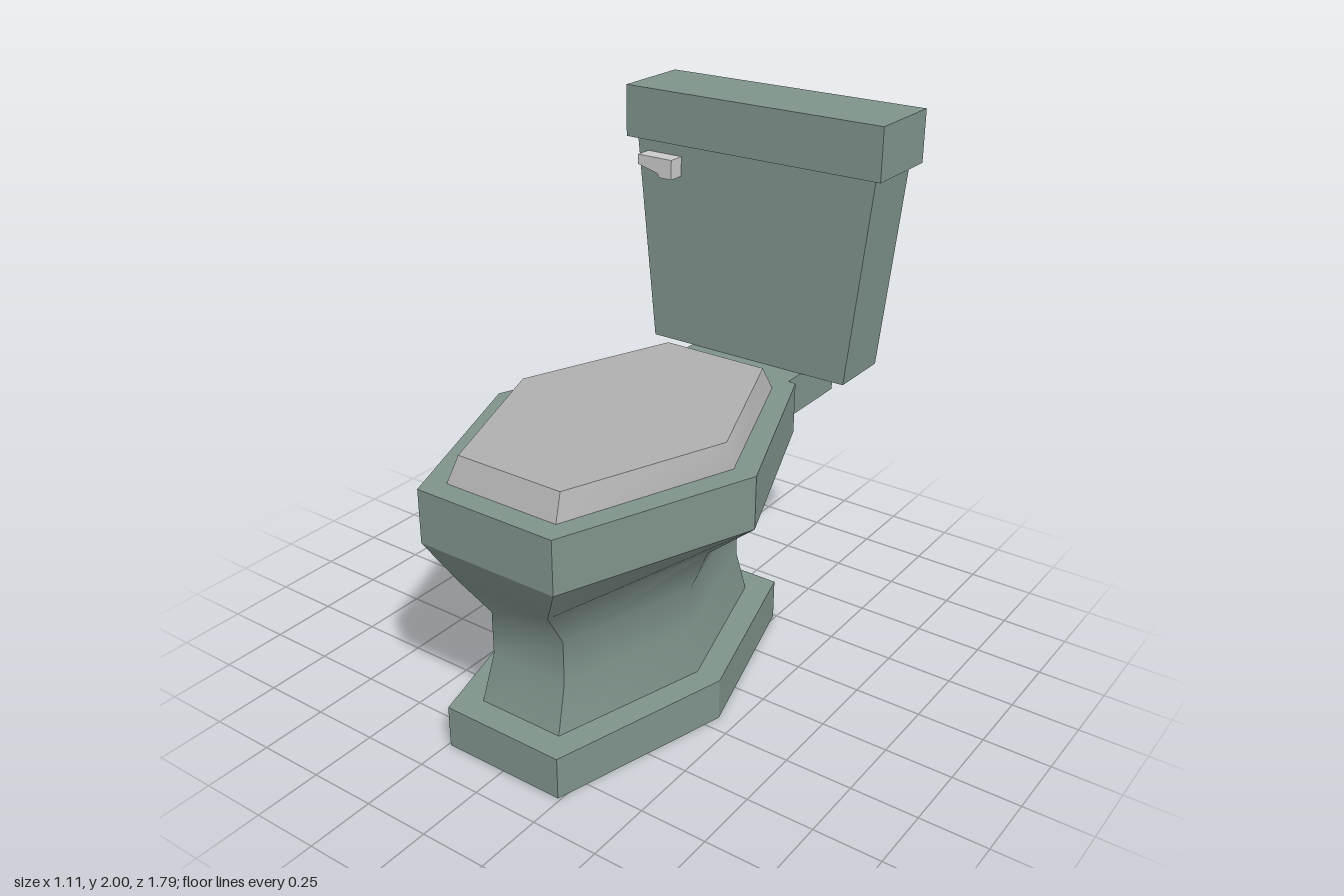
import * as THREE from 'three';
import { toCreasedNormals } from 'three/addons/utils/BufferGeometryUtils.js';

const green = new THREE.MeshStandardMaterial({ color: 0x80948c });
const lidGrey = new THREE.MeshStandardMaterial({ color: 0xb0b0b0 });
const handleGrey = new THREE.MeshStandardMaterial({ color: 0xcccccc });
const MID_Z = 0.187; // centre line of the bowl

// Long hexagon: half width at the middle, half width of the ends, half length
function hexRing([y, halfWidth, endWidth, halfLength]) {
  return [
    [endWidth, y, MID_Z + halfLength], [halfWidth, y, MID_Z], [endWidth, y, MID_Z - halfLength],
    [-endWidth, y, MID_Z - halfLength], [-halfWidth, y, MID_Z], [-endWidth, y, MID_Z + halfLength],
  ];
}

// Rectangle cross-section
function rectRing(y, hw, front, back) {
  return [[hw, y, front], [hw, y, back], [-hw, y, back], [-hw, y, front]];
}

// Closed solid through stacked cross-sections, listed from bottom to top
function loft(rings, crease) {
  const n = rings[0].length, index = [];
  for (let r = 0; r < rings.length - 1; r++) {
    for (let i = 0; i < n; i++) {
      const a = r * n + i, b = r * n + (i + 1) % n;
      index.push(a, b, b + n, a, b + n, a + n);
    }
  }
  const top = (rings.length - 1) * n;
  for (let i = 1; i < n - 1; i++) {
    index.push(0, i + 1, i, top, top + i, top + i + 1);
  }
  const geo = new THREE.BufferGeometry();
  geo.setAttribute('position', new THREE.Float32BufferAttribute(rings.flat(2), 3));
  geo.setIndex(index);
  return toCreasedNormals(geo, crease);
}

export function createModel() {
  const model = new THREE.Group();
  model.name = 'toilet';
  const add = (name, geometry, material = green) => {
    const mesh = new THREE.Mesh(geometry, material);
    mesh.name = name;
    model.add(mesh);
    return mesh;
  };
  const box = (name, hw, y0, y1, front, back) =>
    add(name, loft([rectRing(y0, hw, front, back), rectRing(y1, hw, front, back)], 0.5));

  // Foot, waisted pedestal and rim
  add('foot', loft([[0, 0.43, 0.24, 0.677], [0.16, 0.43, 0.24, 0.677]].map(hexRing), 0.5));
  add('pedestal', loft([
    [0.16, 0.335, 0.168, 0.577],
    [0.335, 0.305, 0.155, 0.525],
    [0.5, 0.305, 0.155, 0.525],
    [0.66, 0.37, 0.187, 0.635],
    [0.815, 0.553, 0.276, 0.709],
  ].map(hexRing), 0.7));
  add('rim', loft([[0.815, 0.553, 0.276, 0.709], [1.013, 0.553, 0.276, 0.709]].map(hexRing), 0.5));

  // Bevelled seat lid
  add('seatLid', loft([[1.013, 0.465, 0.226, 0.626], [1.102, 0.435, 0.21, 0.582]].map(hexRing), 1.07), lidGrey);

  // Shelf behind the bowl carrying the tank
  box('tankShelf', 0.245, 0.86, 1.013, -0.5, -0.86);
  add('tank', loft([rectRing(1.013, 0.425, -0.61, -0.86), rectRing(1.805, 0.506, -0.61, -0.86)], 0.5));
  box('tankLid', 0.538, 1.805, 2, -0.58, -0.895);

  // Flush handle
  const outline = [[-0.46, 1.755], [-0.46, 1.717], [-0.37, 1.695], [-0.362, 1.68], [-0.307, 1.68], [-0.307, 1.755]];
  const shape = new THREE.Shape(outline.map(([x, y]) => new THREE.Vector2(x, y)));
  const handle = add('flushHandle', new THREE.ExtrudeGeometry(shape, { depth: 0.067, bevelEnabled: false }), handleGrey);
  handle.position.z = -0.612;

  return model;
}
